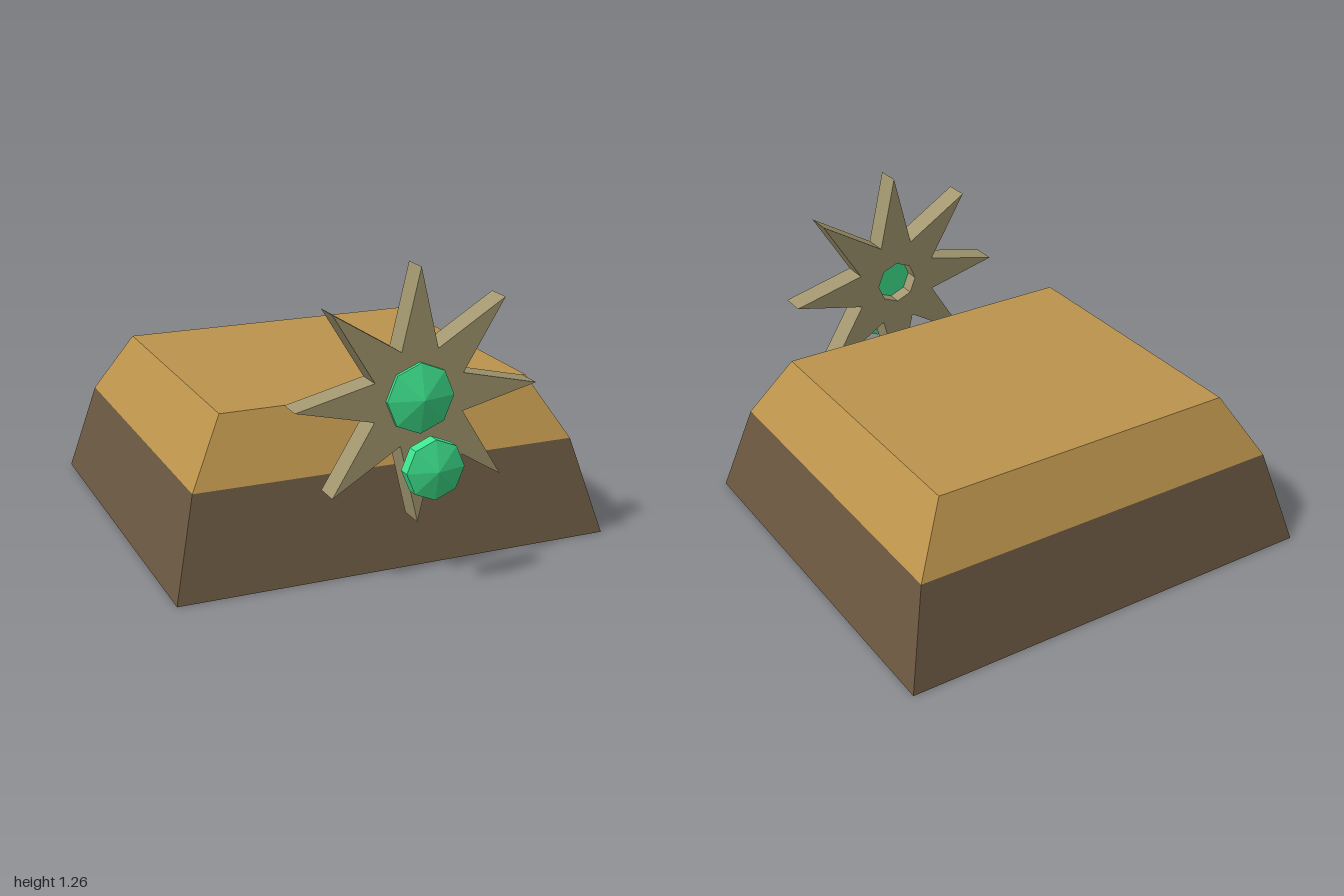
import * as THREE from 'three';

const material = (color) => new THREE.MeshStandardMaterial({ color, flatShading: true });

function addMesh(group, name, geometry, mat, x, y, z) {
  const mesh = new THREE.Mesh(geometry, mat);
  mesh.name = name;
  mesh.position.set(x, y, z);
  group.add(mesh);
  return mesh;
}

// Box whose top and bottom rectangles have their own half sizes
function frustum(bottom, top, height) {
  const geometry = new THREE.BoxGeometry(2, height, 2);
  const p = geometry.attributes.position;
  for (let i = 0; i < p.count; i++) {
    const [hx, hz] = p.getY(i) > 0 ? top : bottom;
    p.setX(i, p.getX(i) * hx);
    p.setZ(i, p.getZ(i) * hz);
  }
  geometry.translate(0, height / 2, 0);
  geometry.computeVertexNormals();
  return geometry;
}

// Eight-pointed star plate with an octagonal hole
function starPlate(outer, inner, hole, depth) {
  const ring = (count, radius) => Array.from({ length: count }, (_, i) => {
    const a = (i / count) * Math.PI * 2;
    return new THREE.Vector2(radius(i) * Math.cos(a), radius(i) * Math.sin(a));
  });
  const shape = new THREE.Shape(ring(16, (i) => (i % 2 ? inner : outer)));
  shape.holes.push(new THREE.Path(ring(8, () => hole).reverse()));
  return new THREE.ExtrudeGeometry(shape, { depth, bevelEnabled: false });
}

// Octagonal cut stone: flat back, straight girdle, shallow pointed front
function gem(radius, girdle, point) {
  const profile = [[0, 0], [radius, 0], [radius, girdle], [0, girdle + point]];
  const geometry = new THREE.LatheGeometry(profile.map(([x, y]) => new THREE.Vector2(x, y)), 8);
  return geometry.rotateX(Math.PI / 2);
}

export function createModel() {
  const model = new THREE.Group();
  model.name = 'jewelledBlock';
  const brown = material(0x6b5841);
  const gold = material(0xbc944c);
  const bronze = material(0xa2976f);
  const green = material(0x3fe58f);

  // Two-tier tapered block
  const blockZ = -0.157;
  addMesh(model, 'lowerBlock', frustum([0.933, 0.843], [0.827, 0.735], 0.4), brown, 0, 0, blockZ);
  addMesh(model, 'upperBlock', frustum([0.827, 0.735], [0.672, 0.61], 0.262), gold, 0, 0.4, blockZ);

  // Star ornament in front, with a stone in its hole and one hanging before it
  addMesh(model, 'star', starPlate(0.505, 0.2, 0.095, 0.107), bronze, 0, 0.753, 0.717);
  addMesh(model, 'centreGem', gem(0.14, 0.058, 0.033), green, 0, 0.753, 0.78);
  addMesh(model, 'lowerGem', gem(0.12, 0.05, 0.028), green, 0, 0.512, 0.922);

  return model;
}
